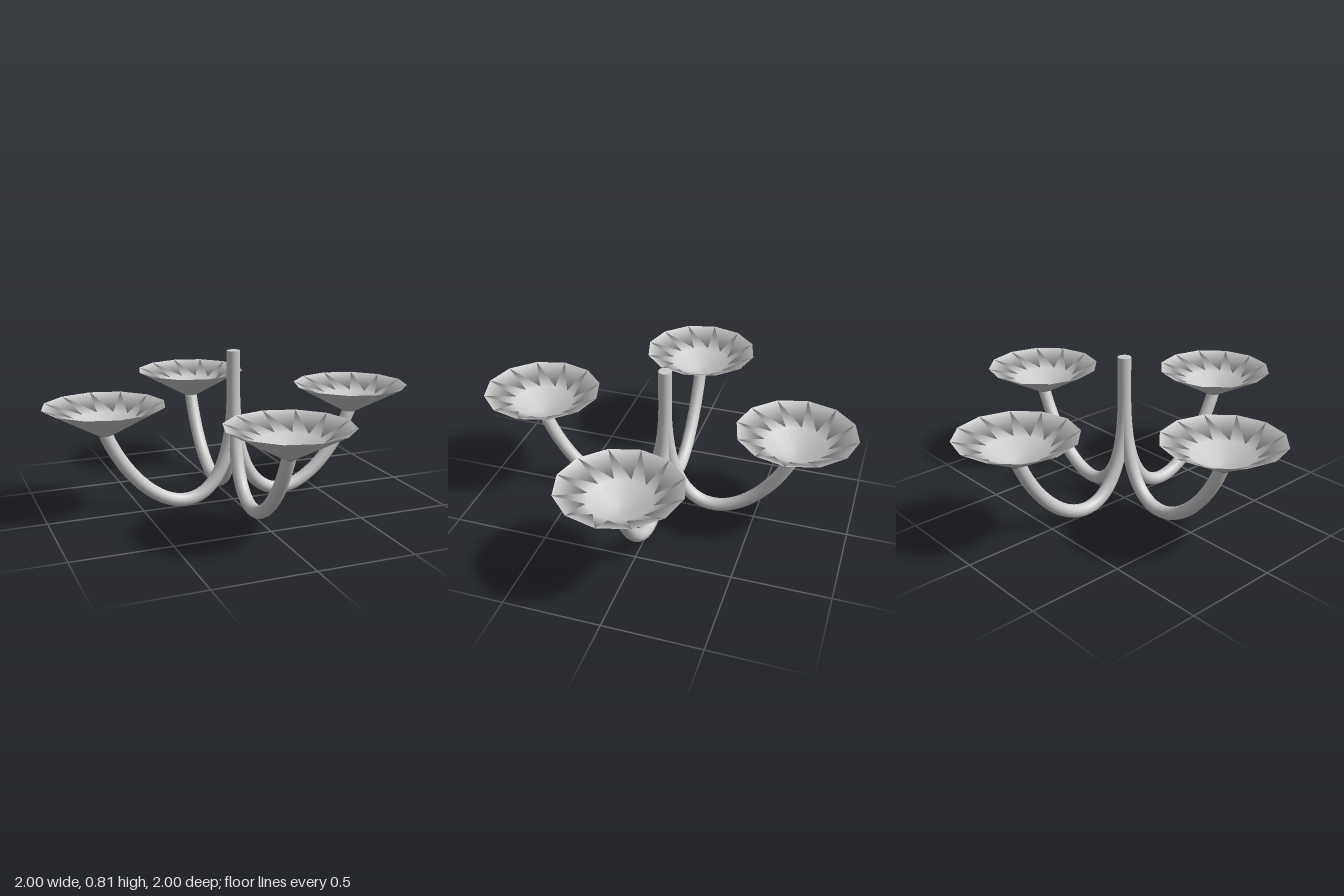
import * as THREE from 'three';

export function createModel() {
  const model = new THREE.Group();
  model.name = 'chandelier';
  const material = new THREE.MeshStandardMaterial({ color: 0xcccccc });
  const v3 = (x, y) => new THREE.Vector3(x, y, 0);

  const add = (parent, name, geometry) => {
    const mesh = new THREE.Mesh(geometry, material);
    mesh.name = name;
    parent.add(mesh);
    return mesh;
  };

  // Central stem
  const stem = add(model, 'stem', new THREE.CylinderGeometry(0.035, 0.035, 0.35, 16));
  stem.position.y = 0.64;

  // Arm leaves the stem, sweeps down and rises to the dish
  const armPath = new THREE.CubicBezierCurve3(
    v3(0, 0.62), v3(0, -0.223), v3(0.5, -0.033), v3(0.69, 0.44));
  const armGeometry = new THREE.TubeGeometry(armPath, 40, 0.035, 16);

  // Thin twelve-sided dish: outside up to the rim, then back down the inside
  const dishProfile = [
    [0, 0.425], [0.03, 0.43], [0.31, 0.585],
    [0.16, 0.512], [0.06, 0.458], [0, 0.45],
  ].map(([r, y]) => new THREE.Vector2(r, y));
  const dishGeometry = new THREE.LatheGeometry(dishProfile, 12);

  // Four matching branches
  for (let i = 0; i < 4; i++) {
    const branch = new THREE.Group();
    branch.name = 'branch' + (i + 1);
    add(branch, 'arm', armGeometry);
    add(branch, 'dish', dishGeometry).position.x = 0.69;
    branch.rotation.y = i * Math.PI / 2;
    model.add(branch);
  }
  return model;
}
